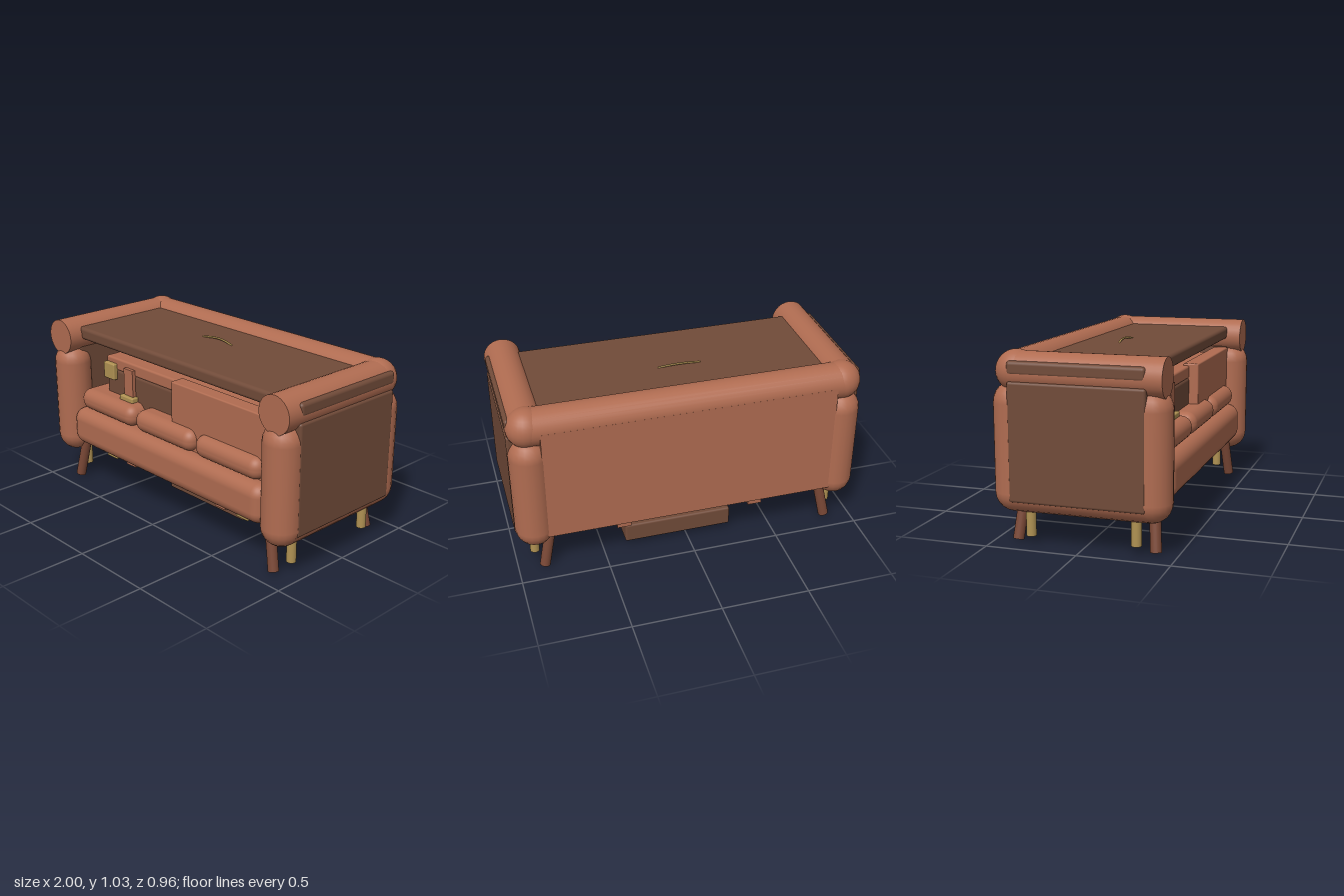
import * as THREE from 'three';
import { RoundedBoxGeometry } from 'three/addons/geometries/RoundedBoxGeometry.js';

const mat = (name, color) => {
  const m = new THREE.MeshStandardMaterial({ color });
  m.name = name;
  return m;
};

export function createModel() {
  const root = new THREE.Group();
  root.name = 'sofa';
  const leather = mat('terracotta leather', 0xb06c51);
  const dark = mat('dark brown', 0x714b39);
  const wood = mat('red brown wood', 0x7a4836);
  const gold = mat('antique gold', 0xb09253);

  const add = (name, geo, material, x = 0, y = 0, z = 0) => {
    const m = new THREE.Mesh(geo, material);
    m.name = name;
    m.position.set(x, y, z);
    root.add(m);
    return m;
  };
  // Box given by its extents, rounded when r > 0
  const box = (name, material, [x0, x1], [y0, y1], [z0, z1], r = 0) => {
    const s = [x1 - x0, y1 - y0, z1 - z0];
    const geo = r ? new RoundedBoxGeometry(...s, 4, r) : new THREE.BoxGeometry(...s);
    return add(name, geo, material, (x0 + x1) / 2, (y0 + y1) / 2, (z0 + z1) / 2);
  };
  // Cylinder running between two points
  const rod = (name, material, a, b, r0, r1 = r0, seg = 20) => {
    const p = new THREE.Vector3(...a), q = new THREE.Vector3(...b);
    const d = q.clone().sub(p);
    const m = add(name, new THREE.CylinderGeometry(r1, r0, d.length(), seg), material);
    m.position.copy(p).add(q).multiplyScalar(0.5);
    m.quaternion.setFromUnitVectors(new THREE.Vector3(0, 1, 0), d.normalize());
    return m;
  };

  // Arms: padded U frame, side panel, top roll and legs
  for (const s of [-1, 1]) {
    const x = 0.888 * s;
    for (const z of [-0.37, 0.37]) {
      add('armPost', new THREE.CapsuleGeometry(0.11, 0.47, 6, 20), leather, x, 0.525, z);
      rod('splayedLeg', wood, [0.85 * s, 0.01, z * 1.03], [0.8 * s, 0.25, z * 0.97], 0.03, 0.03);
      rod('metalLeg', gold, [0.89 * s, 0.05, z * 0.78], [0.89 * s, 0.25, z * 0.78], 0.027);
    }
    rod('armBottom', leather, [x, 0.29, -0.37], [x, 0.29, 0.37], 0.11);
    const px = [0.81 * s, 0.999 * s].sort((a, b) => a - b);
    box('armSidePanel', dark, px, [0.25, 0.88], [-0.367, 0.367], 0.015);
    rod('armRoll', leather, [0.893 * s, 0.922, -0.36], [0.893 * s, 0.922, 0.45], 0.105, 0.105, 28);
    add('cornerPad', new THREE.SphereGeometry(0.11, 24, 16), leather, 0.888 * s, 0.924, -0.352);
  }

  // Back with its top roll
  box('backPanel', leather, [-0.83, 0.83], [0.26, 0.925], [-0.46, -0.4]);
  rod('backRoll', leather, [-0.89, 0.922, -0.355], [0.89, 0.922, -0.355], 0.105, 0.105, 28);

  // Table board with a thin curved handle
  box('tableBoard', dark, [-1, 1], [0.91, 0.985], [-0.368, 0.365], 0.02);
  const arc = new THREE.CatmullRomCurve3([
    [-0.16, 0.983, -0.047], [-0.1, 0.993, -0.054], [-0.035, 0.997, -0.058],
    [0.03, 0.993, -0.054], [0.09, 0.983, -0.047],
  ].map(p => new THREE.Vector3(...p)));
  add('boardHandle', new THREE.TubeGeometry(arc, 24, 0.006, 6), gold);

  // Seat
  box('seatBase', leather, [-0.81, 0.81], [0.262, 0.492], [0.08, 0.457], 0.07);
  box('seatUnderside', dark, [-0.81, 0.81], [0.265, 0.3], [-0.41, 0.36]);
  for (const x of [-0.515, -0.005, 0.507])
    box('seatCushion', leather, [x - 0.248, x + 0.248], [0.49, 0.62], [0.17, 0.425], 0.06);

  // Trunk inside the seat
  box('trunkBody', dark, [-0.62, 0.62], [0.2, 0.775], [-0.39, 0.315], 0.02);
  box('trunkLid', leather, [-0.62, 0.62], [0.77, 0.843], [-0.39, 0.315], 0.012);
  box('backrestPanel', leather, [0.03, 0.8], [0.45, 0.855], [0.28, 0.37], 0.008);
  for (const s of [-1, 1]) {
    const span = (a, b) => [a * s, b * s].sort((p, q) => p - q);
    box('trunkStrapBottom', leather, span(0.35, 0.43), [0.197, 0.27], [-0.41, 0.335]);
    box('trunkStrapFront', leather, span(0.35, 0.43), [0.6, 0.81], [0.3, 0.337]);
    box('strapBuckle', gold, span(0.33, 0.45), [0.615, 0.648], [0.3, 0.36], 0.008);
    box('trunkCornerTop', gold, span(0.52, 0.618), [0.71, 0.81], [0.27, 0.342], 0.008);
    box('trunkCornerBottom', gold, span(0.52, 0.615), [0.197, 0.29], [0.27, 0.342], 0.008);
  }

  // Books on the trunk: x, width, gold or leather, lean
  const books = [
    [-0.38, 0.03, 0, 0.1], [-0.32, 0.05, 1, -0.3], [-0.26, 0.05, 1, -0.12], [-0.2, 0.06, 1, 0],
    [-0.13, 0.05, 0, 0], [-0.07, 0.07, 1, 0], [0, 0.05, 0, 0], [0.05, 0.05, 1, 0.05],
    [0.12, 0.05, 1, 0], [0.18, 0.07, 1, 0.1], [0.26, 0.04, 0, 0], [0.31, 0.04, 0, 0.1], [0.38, 0.03, 0, 0.3],
  ];
  for (const [x, w, g, lean] of books)
    box('book', g ? gold : leather, [x - w / 2, x + w / 2], [0.83, 0.908], [-0.2, -0.06]).rotation.z = lean;

  // Books leaning beside the trunk
  for (const [x, w, h, m, lean] of [[-0.735, 0.035, 0.3, leather, 0.08],
    [-0.695, 0.03, 0.29, leather, 0.05], [-0.66, 0.03, 0.29, gold, -0.1], [-0.635, 0.025, 0.24, leather, -0.08]])
    box('leaningBook', m, [x - w / 2, x + w / 2], [0.45, 0.45 + h], [0.05, 0.2]).rotation.z = lean;

  // Knobs and pins on the inner back
  for (const x of [-0.66, -0.44, 0.44, 0.66]) {
    add('knob', new THREE.SphereGeometry(0.011, 10, 8), gold, x, 0.885, -0.22);
    if (x !== -0.66) rod('pin', wood, [x - 0.07, 0.835, -0.22], [x, 0.885, -0.22], 0.006, 0.006, 8);
  }

  // Drawer boxes hanging underneath
  box('lowerTray', dark, [-0.395, 0.395], [0.134, 0.192], [-0.26, 0.178], 0.02);
  box('trayHanger', dark, [-0.3, 0.3], [0.18, 0.215], [-0.2, 0.12]);
  box('lowerDrawer', dark, [-0.26, 0.37], [0.036, 0.15], [-0.35, 0.135], 0.012);

  return root;
}
